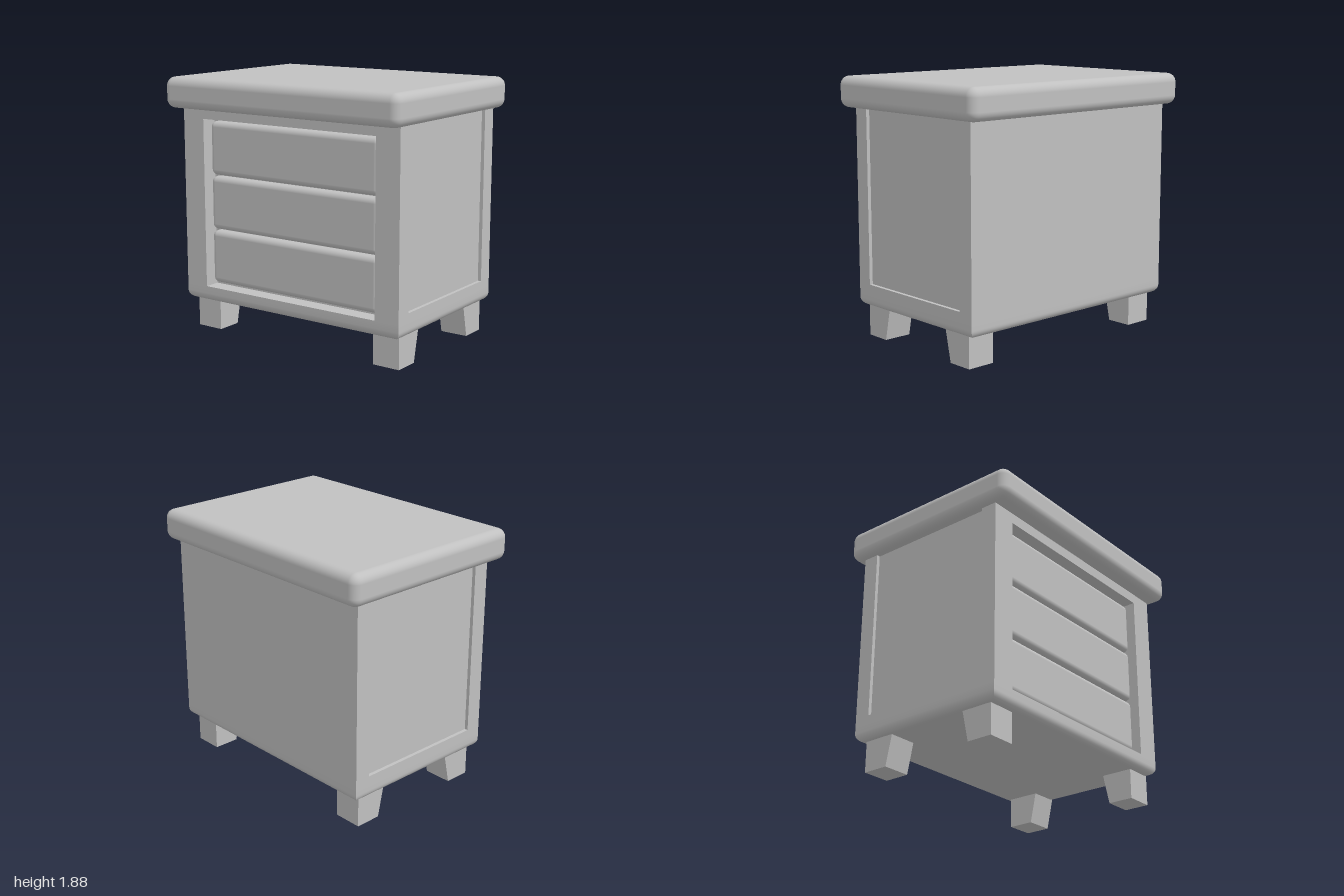
import * as THREE from 'three';
import { RoundedBoxGeometry } from 'three/addons/geometries/RoundedBoxGeometry.js';
import { toCreasedNormals } from 'three/addons/utils/BufferGeometryUtils.js';

const L = -0.93, R = 0.935, FRONT = 0.6, BACK = -0.64;   // cabinet footprint
const BOTTOM = 0.22, TOP = 1.66;

// Floor plan of the cabinet, with optional recesses in the front and the sides
function plan(frontRecess, sideRecess) {
  const d = 0.026, sideFront = 0.48, sideBack = -0.52;
  const p = [[L, FRONT]];
  if (frontRecess) p.push([-0.745, FRONT], [-0.745, 0.48], [0.745, 0.48], [0.745, FRONT]);
  p.push([R, FRONT]);
  if (sideRecess) p.push([R, sideFront], [R - d, sideFront], [R - d, sideBack], [R, sideBack]);
  p.push([R, BACK], [L, BACK]);
  if (sideRecess) p.push([L, sideBack], [L + d, sideBack], [L + d, sideFront], [L, sideFront]);
  return new THREE.Shape(p.map(([x, z]) => new THREE.Vector2(x, -z)));
}

// Upright slab of a floor plan from y0 to y1
function layer(shape, y0, y1) {
  const g = new THREE.ExtrudeGeometry(shape, { depth: y1 - y0, bevelEnabled: false });
  return g.rotateX(-Math.PI / 2).translate(0, y0, 0);
}

// Cabinet base: rectangular rings curving in towards the underside
function roundedBase(yTop, r, steps) {
  const pos = [], idx = [];
  const ring = (inset, y) => pos.push(
    L + inset, y, FRONT - inset, R - inset, y, FRONT - inset,
    R - inset, y, BACK + inset, L + inset, y, BACK + inset);
  for (let i = 0; i <= steps; i++) {
    const a = (i / steps) * Math.PI / 2;
    ring(r * (1 - Math.sin(a)), BOTTOM + r * (1 - Math.cos(a)));
  }
  ring(0, yTop);
  for (let i = 0; i <= steps; i++) {
    for (let j = 0; j < 4; j++) {
      const a = i * 4 + j, b = i * 4 + (j + 1) % 4;
      idx.push(a, b, b + 4, a, b + 4, a + 4);
    }
  }
  const t = (steps + 1) * 4;
  idx.push(0, 2, 1, 0, 3, 2, t, t + 1, t + 2, t, t + 2, t + 3);
  const g = new THREE.BufferGeometry();
  g.setAttribute('position', new THREE.Float32BufferAttribute(pos, 3));
  g.setIndex(idx);
  return toCreasedNormals(g, 0.6);
}

// Foot with an upright outer face and an inner face that slopes outwards to the floor
function footGeometry(outer, innerTop, innerBottom) {
  const g = new THREE.BoxGeometry(0.21, 0.23, 1);
  const p = g.attributes.position;
  const front = outer > 0;
  for (let i = 0; i < p.count; i++) {
    const isOuter = (p.getZ(i) > 0) === front;
    p.setZ(i, isOuter ? outer : p.getY(i) > 0 ? innerTop : innerBottom);
  }
  g.translate(0, 0.115, 0);
  g.computeVertexNormals();
  return g;
}

export function createModel() {
  const model = new THREE.Group();
  model.name = 'nightstand';
  const grey = new THREE.MeshStandardMaterial({ color: 0xc0c0c0 });
  grey.name = 'light grey';

  const add = (name, geometry, x = 0, y = 0, z = 0, parent = model) => {
    const mesh = new THREE.Mesh(geometry, grey);
    mesh.name = name;
    mesh.position.set(x, y, z);
    parent.add(mesh);
  };

  // Tabletop
  add('tabletop', new RoundedBoxGeometry(2, 0.225, 1.47, 5, 0.065), 0, 1.7675, 0);

  // Cabinet, stacked from the floor up
  const cabinet = new THREE.Group();
  cabinet.name = 'cabinet';
  model.add(cabinet);
  add('cabinetBase', roundedBase(0.335, 0.06, 8), 0, 0, 0, cabinet);
  add('lowerRail', layer(plan(true, false), 0.335, 0.39), 0, 0, 0, cabinet);
  add('cabinetWalls', layer(plan(true, true), 0.39, 1.58), 0, 0, 0, cabinet);
  add('upperRail', layer(plan(false, true), 1.58, TOP), 0, 0, 0, cabinet);

  // Three drawers set into the front recess
  const drawer = new RoundedBoxGeometry(1.465, 0.392, 0.17, 5, 0.04);
  [0.556, 0.96, 1.363].forEach((y, i) => add('drawer' + (i + 1), drawer, 0.002, y, 0.465));

  // Feet
  const frontFoot = footGeometry(0.535, 0.295, 0.345);
  const backFoot = footGeometry(-0.572, -0.33, -0.38);
  for (const [side, x] of [['Right', -0.777], ['Left', 0.795]]) {
    add('front' + side + 'Foot', frontFoot, x);
    add('back' + side + 'Foot', backFoot, x);
  }
  return model;
}
